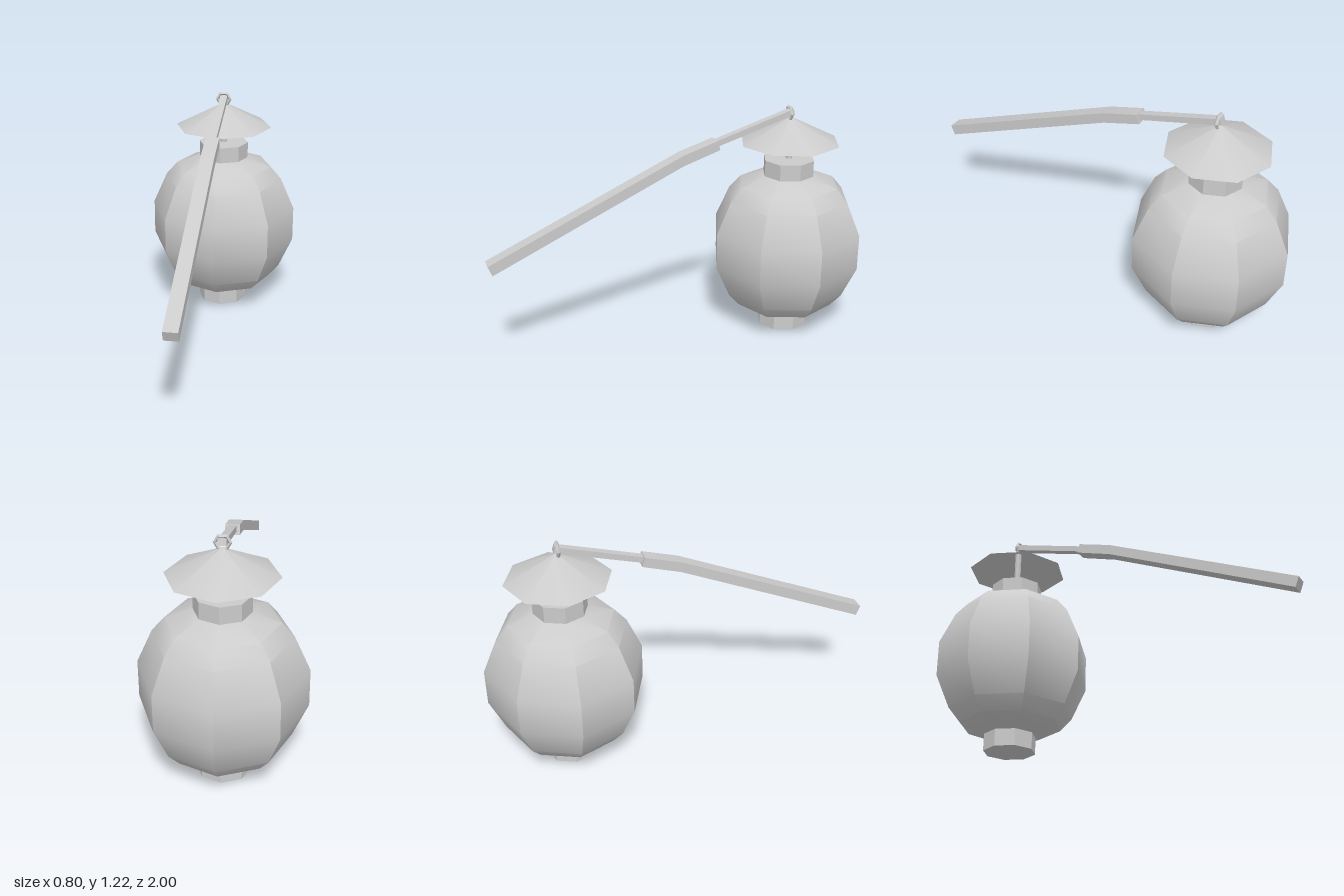
import * as THREE from 'three';
import { toCreasedNormals } from 'three/addons/utils/BufferGeometryUtils.js';

const SIDES = 8;
const CREASE = THREE.MathUtils.degToRad(36);

export function createModel() {
  const model = new THREE.Group();
  model.name = 'lanternOnPole';
  const material = new THREE.MeshStandardMaterial({ color: 0xcccccc });
  const thin = new THREE.MeshStandardMaterial({ color: 0xcccccc, side: THREE.DoubleSide });

  function add(parent, name, geometry, mat = material) {
    const mesh = new THREE.Mesh(toCreasedNormals(geometry, CREASE), mat);
    mesh.name = name;
    parent.add(mesh);
    return mesh;
  }

  // Eight-sided turned part from [radius, height] pairs, listed upwards
  const turned = (profile) =>
    new THREE.LatheGeometry(profile.map(([r, y]) => new THREE.Vector2(r, y)), SIDES);

  // Bar with its side outline given as [z, y] pairs, centred on x = 0
  function bar(outline, width) {
    const shape = new THREE.Shape(outline.map(([z, y]) => new THREE.Vector2(z, y)));
    return new THREE.ExtrudeGeometry(shape, { depth: width, bevelEnabled: false })
      .translate(0, 0, -width / 2)
      .rotateY(-Math.PI / 2);
  }

  // Lantern: paper body between two collars
  const lantern = new THREE.Group();
  lantern.name = 'lantern';
  lantern.position.z = -0.6;
  model.add(lantern);

  add(lantern, 'body', turned([
    [0.135, 0.088], [0.265, 0.14], [0.325, 0.21], [0.4, 0.38],
    [0.4, 0.57], [0.325, 0.74], [0.265, 0.81], [0.135, 0.86],
  ]), thin);
  for (const [name, low, high] of [['bottomCollar', 0, 0.088], ['topCollar', 0.86, 0.945]]) {
    add(lantern, name, new THREE.CylinderGeometry(0.135, 0.135, high - low, SIDES)
      .translate(0, (low + high) / 2, 0));
  }

  // Stem, shallow conical hat and hanging ring
  add(lantern, 'stem', new THREE.CylinderGeometry(0.017, 0.017, 0.215, SIDES).translate(0, 1.045, 0));
  add(lantern, 'hat', turned([[0.262, 1.035], [0, 1.168]]), thin);
  add(lantern, 'hangingRing', new THREE.TorusGeometry(0.034, 0.009, 4, 6).translate(0, 1.187, 0.008));

  // Carrying pole: bent grip and a thinner rod through the ring
  const pole = new THREE.Group();
  pole.name = 'pole';
  model.add(pole);
  add(pole, 'grip', bar([
    [0.98, 0.555], [1.0, 0.607], [0, 1.04], [-0.182, 1.094], [-0.196, 1.046], [0, 0.985],
  ], 0.07));
  add(pole, 'rod', bar([
    [-0.17, 1.085], [-0.605, 1.21], [-0.614, 1.18], [-0.17, 1.054],
  ], 0.038));

  return model;
}
